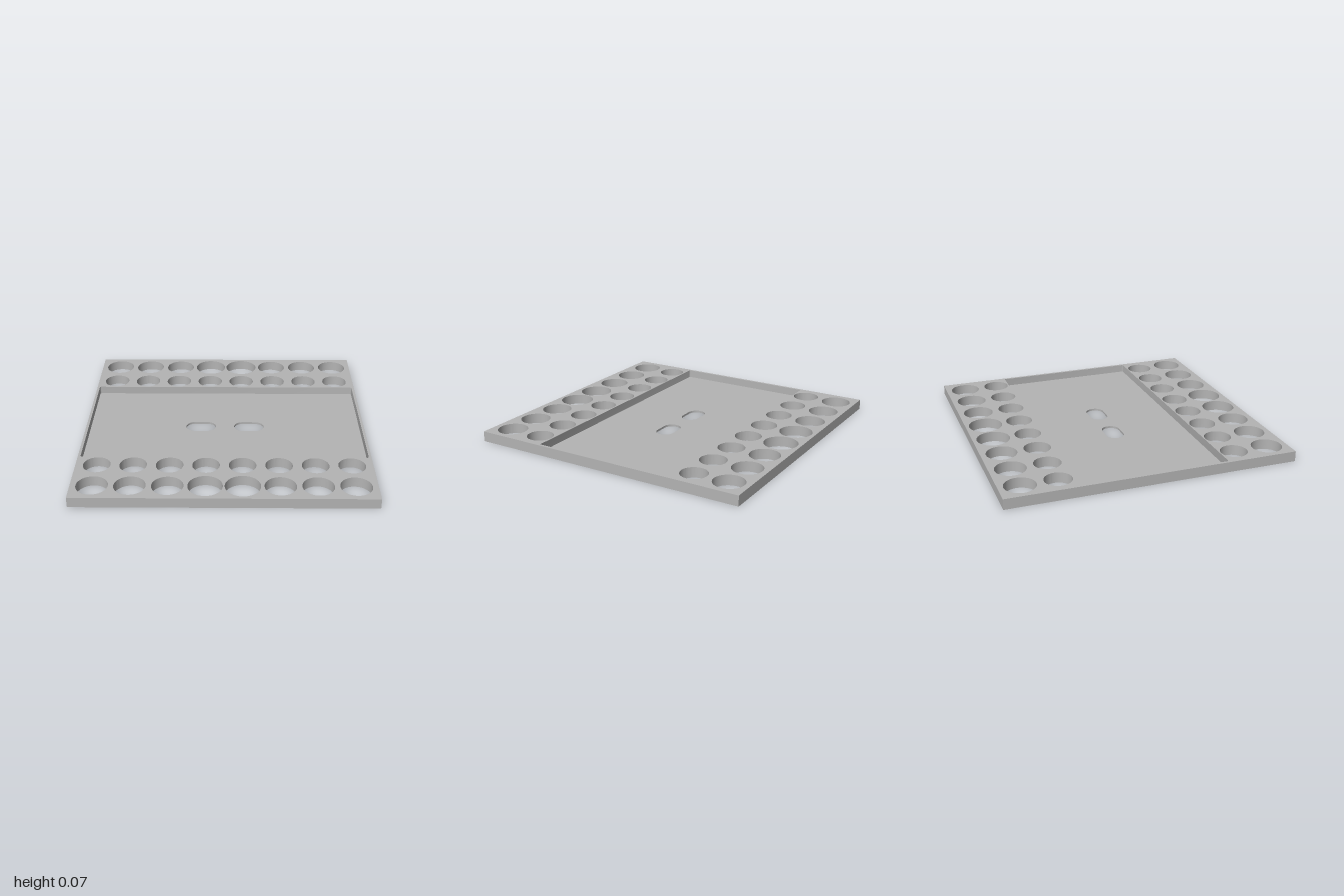
import * as THREE from 'three';
import { mergeGeometries, toCreasedNormals } from 'three/addons/utils/BufferGeometryUtils.js';

const HEIGHT = 0.072, FLOOR = 0.015;

// Rounded rectangle outline, counter-clockwise
function roundedRect(cx, cy, hx, hy, r, steps) {
  const pts = [];
  [[1, 1], [-1, 1], [-1, -1], [1, -1]].forEach(([sx, sy], q) => {
    for (let i = 0; i <= steps; i++) {
      const a = (q + i / steps) * Math.PI / 2;
      pts.push(new THREE.Vector2(cx + sx * (hx - r) + r * Math.cos(a), cy + sy * (hy - r) + r * Math.sin(a)));
    }
  });
  return pts;
}

// Circle outline, counter-clockwise
function circle(cx, cy, r, n = 64) {
  return Array.from({ length: n }, (_, i) => {
    const a = i / n * Math.PI * 2;
    return new THREE.Vector2(cx + r * Math.cos(a), cy + r * Math.sin(a));
  });
}

// Flat face with cut-outs at a given height, facing up or down
function face(outline, holes, z, up = true) {
  const shape = new THREE.Shape(outline);
  shape.holes = holes.map((h) => new THREE.Path(h));
  const g = new THREE.ShapeGeometry(shape).translate(0, 0, z);
  if (!up) g.index.array.reverse();
  const flat = g.toNonIndexed();
  flat.deleteAttribute('uv');
  flat.deleteAttribute('normal');
  return flat;
}

// Upright wall along an outline; inward walls face the middle of the outline
function wall(outline, z0, z1, inward = true) {
  const pts = inward ? [...outline].reverse() : outline;
  const pos = [];
  pts.forEach((a, i) => {
    const b = pts[(i + 1) % pts.length];
    if (a.distanceTo(b) < 1e-6) return;
    pos.push(a.x, a.y, z0, b.x, b.y, z0, b.x, b.y, z1, a.x, a.y, z0, b.x, b.y, z1, a.x, a.y, z1);
  });
  const g = new THREE.BufferGeometry();
  g.setAttribute('position', new THREE.Float32BufferAttribute(pos, 3));
  return g;
}

export function createModel() {
  const group = new THREE.Group();
  const grey = new THREE.MeshStandardMaterial({ color: 0xb4b4b4 });
  grey.name = 'grey';

  const add = (name, parts) => {
    const merged = mergeGeometries(parts).rotateX(-Math.PI / 2);
    const mesh = new THREE.Mesh(toCreasedNormals(merged, Math.PI / 6), grey);
    mesh.name = name;
    group.add(mesh);
  };

  const border = [[-1, -1], [1, -1], [1, 1], [-1, 1]].map(([x, y]) => new THREE.Vector2(x, y));
  const recess = roundedRect(0, 0, 0.982, 0.511, 0.01, 4);
  const slots = [-1, 1].map((s) => roundedRect(s * 0.175, 0, 0.108, 0.064, 0.0635, 12));

  // Two rows of round holes on each side of the recess
  const holes = [];
  for (const side of [-1, 1]) {
    for (let i = 0; i < 8; i++) {
      const x = (i - 3.5) * 0.2447;
      const outerRadius = i === 3 ? 0.115 : i === 4 ? 0.118 : 0.105;
      holes.push(circle(x, side * 0.858, outerRadius), circle(x, side * 0.612, 0.0925));
    }
  }

  add('plateTop', [face(border, [recess, ...holes], HEIGHT)]);
  add('plateUnderside', [face(border, [...slots, ...holes], 0, false)]);
  add('plateSides', [wall(border, 0, HEIGHT, false)]);
  add('holeWalls', holes.map((h) => wall(h, 0, HEIGHT)));
  add('recessWalls', [wall(recess, FLOOR, HEIGHT)]);
  add('recessFloor', [face(recess, slots, FLOOR)]);
  add('slotWalls', slots.map((s) => wall(s, 0, FLOOR)));
  return group;
}
